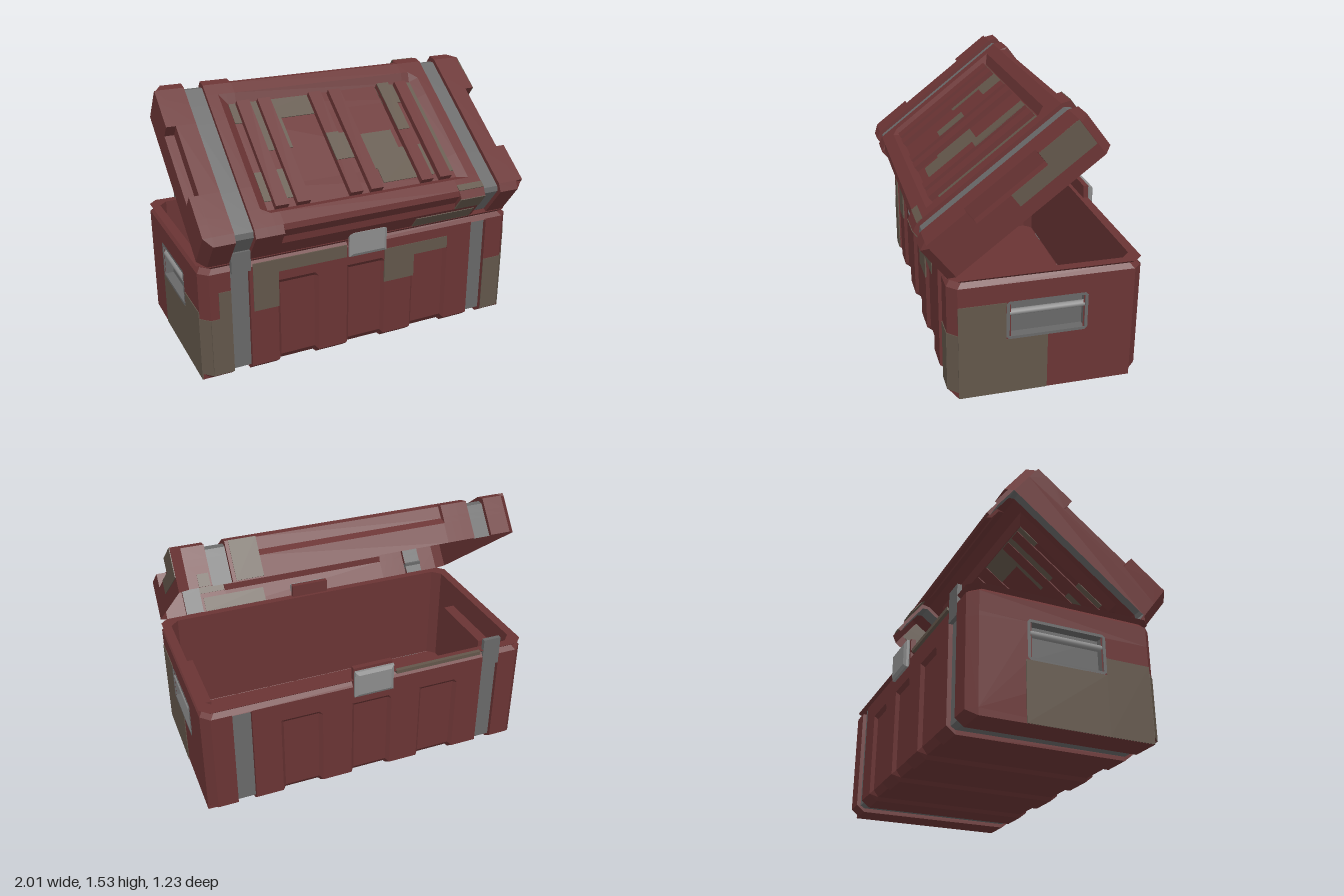
import * as THREE from 'three';

const mat = (name, color) => {
  const m = new THREE.MeshStandardMaterial({ color, side: THREE.DoubleSide });
  m.name = name;
  return m;
};

export function createModel() {
  const red = mat('dark red paint', 0x6a3434);
  const brown = mat('brown camouflage', 0x62564a);
  const grey = mat('strap grey', 0x686868);
  const steel = mat('latch steel', 0x8c8c8c);

  const root = new THREE.Group();
  root.name = 'openCrate';
  const add = (parent, name, geo, m, x = 0, y = 0, z = 0) => {
    const mesh = new THREE.Mesh(geo, m);
    mesh.name = name;
    mesh.position.set(x, y, z);
    parent.add(mesh);
    return mesh;
  };
  // box given by its min and max on each axis
  const box = (parent, name, m, x0, x1, y0, y1, z0, z1) =>
    add(parent, name, new THREE.BoxGeometry(x1 - x0, y1 - y0, z1 - z0), m,
      (x0 + x1) / 2, (y0 + y1) / 2, (z0 + z1) / 2);

  // flat-shaded skin through a list of cross-sections
  const loft = (rows, closed = false) => {
    const v = [];
    for (let i = 0; i + 1 < rows.length; i++) {
      const n = rows[i].length;
      for (let j = 0; j < (closed ? n : n - 1); j++) {
        const k = (j + 1) % n;
        const [a, b, c, d] = [rows[i][j], rows[i][k], rows[i + 1][k], rows[i + 1][j]];
        v.push(...a, ...b, ...c, ...a, ...c, ...d);
      }
    }
    const g = new THREE.BufferGeometry();
    g.setAttribute('position', new THREE.Float32BufferAttribute(v, 3));
    g.computeVertexNormals();
    return g;
  };
  // stations are [x, options]; side -1 mirrors them
  const skin = (section, stations, side = 1) => {
    const rows = stations.map(([x, o]) => section(o).map(([z, y]) => [side * x, y, z]));
    return loft(side < 0 ? rows.reverse() : rows);
  };
  // end wall from a (z, y) outline
  const cap = (pts, side, hole) => {
    const to = ([z, y]) => new THREE.Vector2(-side * z, y);
    const s = new THREE.Shape(pts.map(to));
    if (hole) s.holes.push(new THREE.Path(hole.map(to)));
    return new THREE.ShapeGeometry(s).rotateY(side * Math.PI / 2);
  };

  // ---- Base ----
  const base = new THREE.Group();
  base.name = 'base';
  root.add(base);
  const MID = -0.045;
  // c: corner chamfer, d: strap groove, g: panel groove
  const baseSection = ({ c = 0, d = 0, g = 0, top = 0.665 }) => {
    const h = 0.535 - c - d;
    const half = [[h, top], [h, 0.55], [h - g, 0.525], [h - g, 0.04 + g], [0.485, d + g]];
    const front = half.map(([z, y]) => [MID + z, y]);
    const back = half.map(([z, y]) => [MID - z, y]).reverse();
    return [...front, ...back];
  };
  const D = 0.024;
  const centre = [[-0.72, { d: D }], [-0.72, {}]];
  for (const x of [-0.43, 0, 0.43]) {
    centre.push([x - 0.125, {}], [x - 0.105, { g: 0.02 }], [x + 0.105, { g: 0.02 }], [x + 0.125, {}]);
  }
  centre.push([0.72, {}], [0.72, { d: D }]);
  add(base, 'baseCentre', skin(baseSection, centre), red);

  const rect = (w, h) => [[-w, -h], [w, -h], [w, h], [-w, h]].map(([z, y]) => [MID + z, 0.4475 + y]);
  for (const s of [1, -1]) {
    add(base, 'baseEnd', skin(baseSection, [[0.83, { d: D }], [0.83, {}], [0.95, {}], [1, { c: 0.05 }]], s), red);
    add(base, 'baseEndWall', cap(baseSection({ c: 0.05 }), s, rect(0.2, 0.098)), red, s);
    add(base, 'baseStrap', skin(baseSection, [[0.72, { d: D, top: 0.71 }], [0.83, { d: D, top: 0.71 }]], s), grey);

    // recessed carrying handle
    const hx = 0.225, hy = 0.113, k = 0.015;
    const frame = [[-hx + k, -hy], [hx - k, -hy], [hx, -hy + k], [hx, hy - k], [hx - k, hy], [-hx + k, hy], [-hx, hy - k], [-hx, -hy + k]]
      .map(([z, y]) => [MID + z, 0.4475 + y]);
    add(base, 'handleFrame', cap(frame, s, rect(0.208, 0.097)), grey, s * 1.005);
    add(base, 'handleRecess', loft([1.005, 0.95].map(x => rect(0.208, 0.098).map(([z, y]) => [s * x, y, z])), true), grey);
    add(base, 'handleRecessBack', cap(rect(0.208, 0.098), s), grey, s * 0.951);
    add(base, 'handleBar', new THREE.CylinderGeometry(0.018, 0.018, 0.416, 12).rotateX(Math.PI / 2), steel, s * 0.985, 0.487, MID);
    add(base, 'handleHousing', new THREE.BoxGeometry(0.07, 0.23, 0.46), red, s * 0.91, 0.4475, MID);
  }

  // grooved rim, inner walls and floor
  const ring = (e, y) => {
    const x = 1 - e, z = 0.535 - e, c = 0.05;
    return [[c - x, z], [x - c, z], [x, z - c], [x, c - z], [x - c, -z], [c - x, -z], [-x, c - z], [-x, z - c]]
      .map(([px, pz]) => [px, y, MID + pz]);
  };
  add(base, 'rimAndInnerWalls', loft([ring(0, 0.66), ring(0.024, 0.69), ring(0, 0.71), ring(0.053, 0.71), ring(0.053, 0.05)], true), red);
  box(base, 'floor', red, -0.945, 0.945, 0.046, 0.052, -0.52, 0.43);

  // latches with their backing tabs
  const plate = new THREE.Shape([[-0.1, -0.065], [0.1, -0.065], [0.1, 0.065], [-0.1, 0.065]].map(p => new THREE.Vector2(...p)));
  const latchGeo = new THREE.ExtrudeGeometry(plate, { depth: 0.015, bevelEnabled: true, bevelSize: 0.02, bevelThickness: 0.012, bevelSegments: 1 });
  add(base, 'frontLatch', latchGeo, steel, 0, 0.695, 0.495);
  add(base, 'backLatch', latchGeo, steel, 0, 0.695, -0.59).rotation.y = Math.PI;
  box(base, 'frontLatchTab', red, -0.12, 0.12, 0.6, 0.79, 0.455, 0.485);
  box(base, 'backLatchTab', red, -0.12, 0.12, 0.6, 0.79, -0.58, -0.55);
  // loose strap ends
  box(base, 'frontStrapEnd', grey, -0.83, -0.72, 0.66, 0.78, 0.49, 0.52);
  box(base, 'backStrapEnd', grey, -0.83, -0.72, 0.6, 0.78, -0.58, -0.555);

  // camouflage on the front: x0, x1, y0, y1
  const T = 0.004;
  for (const [x0, x1, y0, y1] of [[-0.7, -0.55, 0.39, 0.665], [-0.55, -0.13, 0.605, 0.665], [-0.7, -0.13, 0.655, 0.68],
    [0.12, 0.55, 0.55, 0.605], [0.12, 0.32, 0.39, 0.55], [0.32, 0.55, 0.53, 0.55],
    [-0.95, -0.83, 0.04, 0.39], [-0.9, -0.83, 0.39, 0.55], [0.83, 0.95, 0.04, 0.39]]) {
    box(base, 'frontCamouflage', brown, x0, x1, y0, y1, 0.49 - T, 0.49 + T);
  }
  for (const s of [1, -1]) {
    add(base, 'cornerCamouflage', new THREE.BoxGeometry(0.071, 0.35, 0.008), brown, s * 0.975, 0.215, 0.465).rotation.y = s * Math.PI / 4;
  }
  // camouflage on the ends: side, z0, z1, y0, y1
  for (const [s, z0, z1, y0, y1] of [[1, 0.18, 0.44, 0, 0.555], [1, -0.05, 0.18, 0, 0.335],
    [-1, 0.18, 0.44, 0, 0.43], [-1, -0.28, 0.18, 0, 0.335]]) {
    box(base, 'endCamouflage', brown, s - T, s + T, y0 + 0.001, y1, z0, z1);
  }
  box(base, 'backRimCamouflage', brown, -0.7, -0.15, 0.69, 0.712, -0.583, -0.56);

  // ---- Lid, swung up about the front edge; local z runs from 0 to about -1 ----
  const lid = new THREE.Group();
  lid.name = 'lid';
  lid.position.set(0, 0.725, 0.46);
  lid.rotation.x = THREE.MathUtils.degToRad(37.4);
  root.add(lid);
  // c: corner chamfer, d: strap groove, g: edge recess, r: top panel recess, n: end notch
  const lidSection = ({ c = 0, d = 0, g = 0, r = 0, n = 0 }) => {
    const F = -0.026 + d + c, B = 1.041 - d - c, top = 0.243 - d, e = 0.22 - d;
    return [[B, 0], [B, 0.115], [B - g, 0.15], [B - g, e], [0.991, top], [0.916, top], [0.865, top - r],
      [0.735, top - r], [0.735, top - r - n], [0.278, top - r - n], [0.278, top - r],
      [0.135, top - r], [0.1, top], [0.021, top], [F + g, e], [F + g, 0.15], [F, 0.115], [F, 0]]
      .map(([a, b]) => [-a, b]);
  };
  const g = 0.022, r = 0.035, n = 0.083;
  add(lid, 'lidCentre', skin(lidSection, [[-0.72, { d: D }], [-0.72, {}], [-0.65, {}], [-0.6, { r }], [-0.555, { r }],
    [-0.55, { r, g }], [0.55, { r, g }], [0.555, { r }], [0.6, { r }], [0.65, {}], [0.72, {}], [0.72, { d: D }]]), red);
  for (const s of [1, -1]) {
    add(lid, 'lidEnd', skin(lidSection, [[0.83, { d: D }], [0.83, {}], [0.945, {}], [0.945, { n }], [0.953, { n }], [1, { c: 0.047, n }]], s), red);
    add(lid, 'lidEndWall', cap(lidSection({ c: 0.047, n }), s), red, s);
    add(lid, 'lidStrap', skin(lidSection, [[0.72, { d: D }], [0.83, { d: D }]], s), grey);
  }
  // ribs in the top panel
  for (const x of [-0.52, -0.392, -0.07, 0.06, 0.39, 0.515]) {
    box(lid, 'lidRib', red, x - 0.039, x + 0.039, 0.2, 0.243, -0.855, -0.135);
  }

  // camouflage in the top panel: x0, x1, distance from hinge a0, a1, height
  const P = 0.208, R = 0.243;
  for (const [x0, x1, a0, a1, h] of [[-0.6, -0.1, 0.72, 0.86, P], [-0.48, -0.32, 0.51, 0.72, P], [-0.6, -0.43, 0.19, 0.38, P],
    [-0.1, 0.08, 0.38, 0.56, P], [0.08, 0.32, 0.28, 0.53, P], [0.13, 0.47, 0.18, 0.4, P], [0.35, 0.6, 0.72, 0.86, P],
    [0.55, 0.6, 0.18, 0.72, P], [0.351, 0.429, 0.5, 0.855, R], [-0.109, -0.031, 0.36, 0.55, R], [0.55, 0.72, 0.02, 0.06, R]]) {
    box(lid, 'lidTopCamouflage', brown, x0, x1, h - T, h + T, -a1, -a0);
  }
  // camouflage on the lid's edges and left end
  box(lid, 'lidFrontCamouflage', brown, 0.3, 0.7, 0.002, 0.09, 0.026 - T, 0.026 + T);
  box(lid, 'lidFrontCamouflage', brown, 0.55, 0.72, 0.12, 0.22, 0.026 - T, 0.026 + T);
  box(lid, 'lidBackCamouflage', brown, 0.55, 0.7, 0.002, 0.22, -1.041 - T, -1.041 + T);
  box(lid, 'lidBackCamouflage', brown, 0.84, 0.9, 0.002, 0.07, -1.041 - T, -1.041 + T);
  box(lid, 'lidEndCamouflage', brown, 1 - T, 1 + T, 0.08, 0.16, -0.99, -0.5);
  box(lid, 'lidEndCamouflage', brown, 1 - T, 1 + T, 0.16, 0.243, -0.99, -0.735);

  return root;
}
